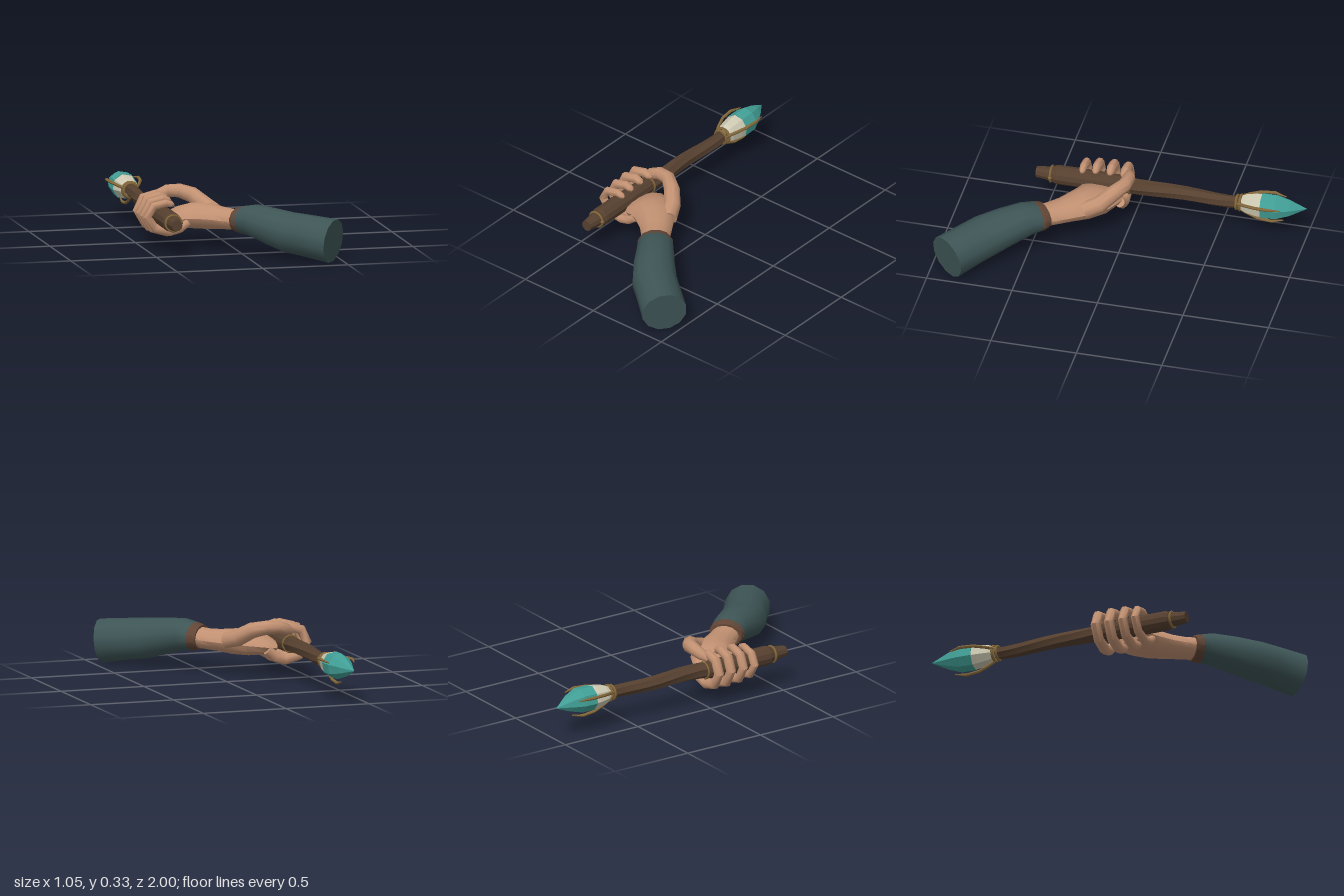
import * as THREE from 'three';
import { toCreasedNormals } from 'three/addons/utils/BufferGeometryUtils.js';

const mat = (name, color) => new THREE.MeshStandardMaterial({ name, color });
const M = {
  skin: mat('skin', 0xc29172),
  sleeve: mat('sleeve cloth', 0x3e5556),
  cuff: mat('cuff leather', 0x624636),
  wood: mat('dark wood', 0x56402f),
  gold: mat('old gold', 0x83673a),
  teal: mat('teal crystal', 0x419f96),
  cream: mat('pale crystal', 0xcdc9b2),
};
const V = (x, y, z) => new THREE.Vector3(x, y, z);
const Y = V(0, 1, 0), Z = V(0, 0, 1);

// Capped skin over elliptical sections [x, y, z, halfWidth, halfHeight]
function loft(sections, { n = 10, ref = Y, crease = 0.7, flute = 0, twist = 0, phase = 0 } = {}) {
  const pts = sections.map(s => V(s[0], s[1], s[2]));
  const pos = [], idx = [], last = pts.length - 1;
  pts.forEach((p, k) => {
    const t = pts[Math.min(k + 1, last)].clone().sub(pts[Math.max(k - 1, 0)]).normalize();
    const side = t.clone().cross(ref).normalize(), up = side.clone().cross(t);
    const [, , , w, h = w] = sections[k];
    for (let i = 0; i < n; i++) {
      const a = (i / n) * Math.PI * 2 + phase + twist * k;
      const f = i % 2 ? 1 - flute : 1;
      const q = p.clone().addScaledVector(side, Math.cos(a) * w * f).addScaledVector(up, Math.sin(a) * h * f);
      pos.push(q.x, q.y, q.z);
    }
  });
  const c0 = pos.length / 3, c1 = c0 + 1;
  pos.push(...pts[0].toArray(), ...pts[last].toArray());
  for (let i = 0; i < n; i++) {
    const j = (i + 1) % n;
    for (let k = 0; k < last; k++) {
      const a = k * n + i, b = k * n + j;
      idx.push(a, a + n, b, b, a + n, b + n);
    }
    idx.push(c0, i, j, c1, last * n + j, last * n + i);
  }
  const g = new THREE.BufferGeometry();
  g.setAttribute('position', new THREE.Float32BufferAttribute(pos, 3));
  g.setIndex(idx);
  return toCreasedNormals(g, crease);
}

export function createModel() {
  const root = new THREE.Group();
  root.name = 'handHoldingWand';
  const add = (name, geo, material, parent = root) => {
    const m = new THREE.Mesh(geo, material);
    m.name = name;
    parent.add(m);
    return m;
  };
  const group = name => {
    const g = new THREE.Group();
    g.name = name;
    root.add(g);
    return g;
  };

  // Sleeve and cuff
  const arm = group('arm');
  add('sleeve', loft([
    [0.015, 0.2, 0.465, 0.102, 0.078],
    [0.065, 0.205, 0.525, 0.107, 0.092],
    [0.14, 0.185, 0.625, 0.12, 0.105],
    [0.225, 0.162, 0.725, 0.13, 0.116],
    [0.30, 0.153, 0.785, 0.128, 0.119],
    [0.437, 0.132, 0.895, 0.13, 0.127],
  ], { n: 12, phase: 0.26 }), M.sleeve, arm);
  add('cuff', loft([
    [-0.008, 0.199, 0.44, 0.094, 0.07],
    [0.02, 0.2, 0.47, 0.105, 0.081],
    [0.034, 0.201, 0.486, 0.1, 0.08],
  ], { n: 12, phase: 0.26 }), M.cuff, arm);

  // Wrist and palm
  const hand = group('hand');
  add('palm', loft([
    [0.02, 0.2, 0.47, 0.08, 0.06],
    [-0.03, 0.193, 0.405, 0.082, 0.06],
    [-0.085, 0.193, 0.335, 0.092, 0.064],
    [-0.15, 0.194, 0.262, 0.112, 0.075],
    [-0.22, 0.191, 0.205, 0.127, 0.073],
    [-0.295, 0.183, 0.178, 0.137, 0.056],
    [-0.335, 0.178, 0.175, 0.122, 0.035],
  ], { n: 12 }), M.skin, hand);

  // Fingers run under the wand and curl back over it
  const fingers = [[0.058, 0.95, 0.029], [0.14, 1, 0.029], [0.225, 0.96, 0.027], [0.302, 0.84, 0.024]];
  const curl = [
    [-0.265, 0.165, 1], [-0.315, 0.122, 1.1], [-0.37, 0.104, 1.1], [-0.455, 0.125, 1],
    [-0.501, 0.208, 1], [-0.468, 0.28, 1], [-0.395, 0.3, 0.92], [-0.362, 0.29, 0.75], [-0.349, 0.283, 0.3],
  ];
  fingers.forEach(([z, s, r], i) => add('finger' + (i + 1),
    loft(curl.map(([x, y, k]) => [x, 0.205 + (y - 0.205) * s, z, r * k, r * k]),
      { n: 8, ref: Z, phase: Math.PI / 8, crease: 0.85 }), M.skin, hand));

  // Thumb arches above the grip
  add('thumb', loft([
    [-0.085, 0.205, 0.225, 0.05],
    [-0.125, 0.235, 0.145, 0.05],
    [-0.185, 0.285, 0.075, 0.046],
    [-0.25, 0.304, 0.027, 0.041],
    [-0.32, 0.304, 0.018, 0.037],
    [-0.375, 0.286, 0.03, 0.032],
    [-0.41, 0.268, 0.045, 0.014],
  ], { n: 9, crease: 0.9 }), M.skin, hand);

  // Wooden wand: pommel, grip, and grooved twisting shaft
  const wand = group('wand');
  add('pommel', loft([
    [-0.398, 0.2, 0.578, 0.032], [-0.398, 0.2, 0.53, 0.038], [-0.398, 0.2, 0.465, 0.046],
  ], { crease: 0.3 }), M.wood, wand);
  add('grip', loft([
    [-0.398, 0.2, 0.478, 0.048], [-0.398, 0.2, 0.455, 0.056], [-0.398, 0.2, 0.25, 0.056],
    [-0.396, 0.2, 0.06, 0.052], [-0.395, 0.2, 0.03, 0.045],
  ], { n: 12, crease: 0.3 }), M.wood, wand);
  const shaft = [];
  for (let i = 0; i <= 8; i++) {
    const t = i / 8;
    shaft.push([-0.394 + 0.014 * t + 0.006 * Math.sin(t * 9), 0.203 + 0.003 * Math.sin(t * 7), 0.05 - 0.68 * t, 0.047 - 0.011 * t]);
  }
  add('shaft', loft(shaft, { n: 14, flute: 0.14, twist: 0.09, crease: 0.3 }), M.wood, wand);

  // Gold bands
  const band = (name, x, y, z, r, tube) =>
    add(name, new THREE.TorusGeometry(r, tube, 6, 14), M.gold, wand).position.set(x, y, z);
  band('pommelBand', -0.398, 0.2, 0.49, 0.046, 0.007);
  band('gripBand', -0.395, 0.202, 0.028, 0.048, 0.006);
  band('lowerCollar', -0.38, 0.204, -0.6, 0.041, 0.008);
  band('upperCollar', -0.38, 0.204, -0.622, 0.044, 0.009);
  add('bandStud', new THREE.SphereGeometry(0.012, 8, 6), M.gold, wand).position.set(-0.354, 0.2, 0.49);

  // Crystal head
  const head = group('crystalHead');
  const facets = { n: 8, crease: 0.05, phase: 0.2 };
  add('crystalBase', loft([
    [-0.38, 0.204, -0.615, 0.038], [-0.38, 0.204, -0.655, 0.057],
    [-0.38, 0.204, -0.715, 0.069], [-0.38, 0.204, -0.755, 0.072],
  ], facets), M.cream, head);
  add('crystalPoint', loft([
    [-0.38, 0.204, -0.745, 0.075], [-0.382, 0.205, -0.83, 0.074],
    [-0.392, 0.205, -0.905, 0.049], [-0.41, 0.203, -1, 0.001],
  ], facets), M.teal, head);

  // Curved claws holding the crystal
  [0.4, 2.8, 4.71].forEach((a, i) => {
    const path = [[0.042, -0.612], [0.068, -0.66], [0.092, -0.72], [0.1, -0.8], [0.082, -0.87]];
    add('claw' + (i + 1), loft(path.map(([r, z], k) =>
      [-0.379 + Math.cos(a) * r, 0.204 + Math.sin(a) * r, z, k === 4 ? 0.003 : 0.009]), { n: 6 }), M.gold, head);
  });

  return root;
}
